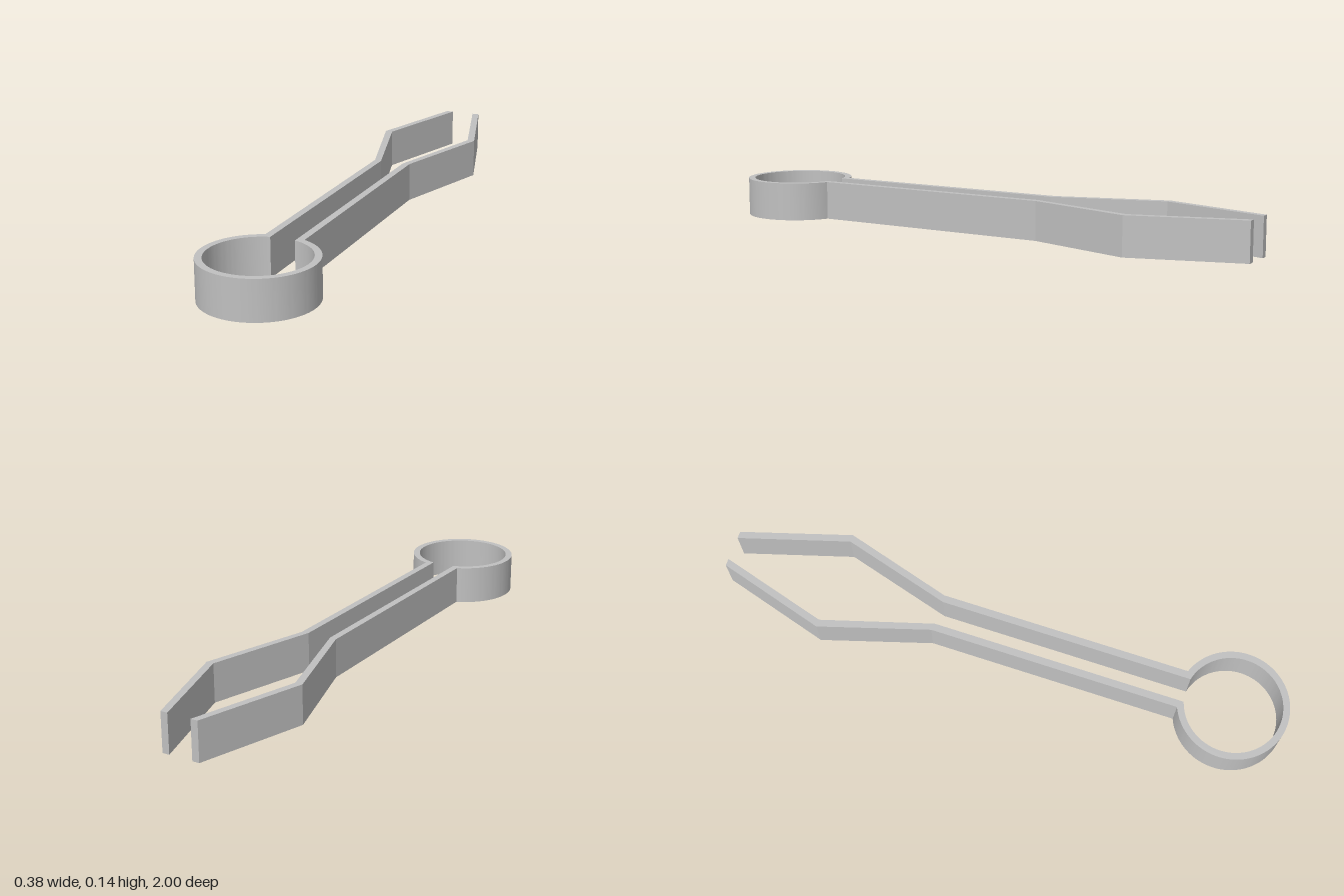
import * as THREE from 'three';
import { toCreasedNormals } from 'three/addons/utils/BufferGeometryUtils.js';

const HEIGHT = 0.135;
const LOOP_Z = 0.81; // centre of the round spring loop
const OUTER = { radius: 0.19, arm: [[0.067, -1], [0.18, -0.62], [0.067, -0.242]] };
const INNER = { radius: 0.167, arm: [[0.042, -1], [0.154, -0.62], [0.042, -0.238]] };

// Angle at which a loop edge meets the straight arm
const joint = ({ radius, arm }) => Math.acos(arm[2][0] / radius);

export function createModel() {
  const group = new THREE.Group();
  const steel = new THREE.MeshStandardMaterial({ color: 0xc0c0c0 });
  steel.name = 'light grey';

  // Outline of the bent strip, drawn with shape y = -z
  const shape = new THREE.Shape();
  const line = ([x, z], side) => shape.lineTo(side * x, -z);

  // Outer edge: left arm, around the loop, right arm
  shape.moveTo(OUTER.arm[0][0], -OUTER.arm[0][1]);
  OUTER.arm.slice(1).forEach((p) => line(p, 1));
  const a = joint(OUTER);
  shape.absarc(0, -LOOP_Z, OUTER.radius, a, Math.PI - a, true);
  [...OUTER.arm].reverse().forEach((p) => line(p, -1));

  // Inner edge: back along the same route
  INNER.arm.forEach((p) => line(p, -1));
  const b = joint(INNER);
  shape.absarc(0, -LOOP_Z, INNER.radius, Math.PI - b, b, false);
  [...INNER.arm].reverse().forEach((p) => line(p, 1));
  shape.closePath();

  // Raise the strip upright; smooth the loop, keep the bends sharp
  const geometry = new THREE.ExtrudeGeometry(shape, {
    depth: HEIGHT, bevelEnabled: false, curveSegments: 64,
  });
  geometry.rotateX(-Math.PI / 2);
  const strip = new THREE.Mesh(toCreasedNormals(geometry, 0.2), steel);
  strip.name = 'bentSpringStrip';
  group.add(strip);
  return group;
}
